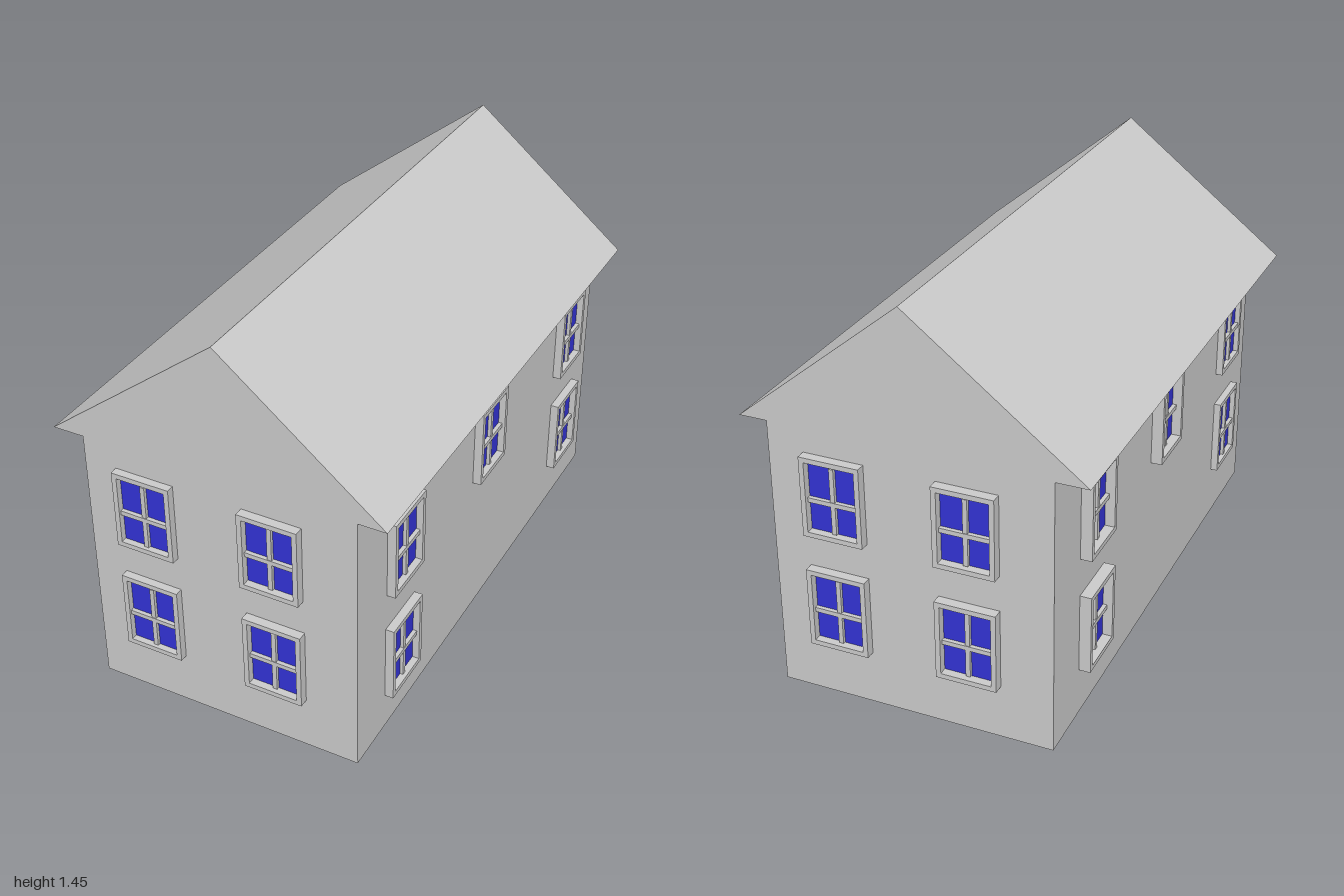
import * as THREE from 'three';

const wallMat = new THREE.MeshStandardMaterial({ color: 0xcccccc, flatShading: true });
const glassMat = new THREE.MeshStandardMaterial({ color: 0x3333d6, flatShading: true });

const WIN_W = 0.21, WIN_H = 0.285, GLASS_W = 0.175, GLASS_H = 0.25;
const WALL = { left: -0.48, right: 0.49, end: 0.965, top: 0.977 };

function mesh(name, geometry, material, x = 0, y = 0, z = 0) {
  const m = new THREE.Mesh(geometry, material);
  m.name = name;
  m.position.set(x, y, z);
  return m;
}

function rect(target, w, h) {
  target.moveTo(-w / 2, -h / 2);
  target.lineTo(w / 2, -h / 2);
  target.lineTo(w / 2, h / 2);
  target.lineTo(-w / 2, h / 2);
  target.closePath();
  return target;
}

// Window facing +z with its back on z = 0
function makeWindow(depth) {
  const g = new THREE.Group();
  g.name = 'window';
  const outline = rect(new THREE.Shape(), WIN_W, WIN_H);
  outline.holes.push(rect(new THREE.Path(), GLASS_W, GLASS_H));
  const frame = new THREE.ExtrudeGeometry(outline, { depth, bevelEnabled: false });
  g.add(mesh('windowFrame', frame, wallMat));
  g.add(mesh('glass', new THREE.BoxGeometry(GLASS_W, GLASS_H, 0.006), glassMat, 0, 0, 0.003));
  g.add(mesh('uprightBar', new THREE.BoxGeometry(0.016, 0.235, 0.012), wallMat, 0, -0.005, 0.012));
  g.add(mesh('crossBar', new THREE.BoxGeometry(GLASS_W, 0.016, 0.014), wallMat, 0, -0.014, 0.013));
  return g;
}

export function createModel() {
  const house = new THREE.Group();
  house.name = 'house';

  // Walls
  const width = WALL.right - WALL.left;
  house.add(mesh('walls', new THREE.BoxGeometry(width, WALL.top, WALL.end * 2), wallMat,
    (WALL.left + WALL.right) / 2, WALL.top / 2, 0));

  // Gabled roof with overhanging eaves
  const gable = new THREE.Shape();
  gable.moveTo(-0.592, WALL.top);
  gable.lineTo(0.588, WALL.top);
  gable.lineTo(0.015, 1.447);
  gable.closePath();
  const roof = new THREE.ExtrudeGeometry(gable, { depth: WALL.end * 2, bevelEnabled: false });
  house.add(mesh('roof', roof, wallMat, 0, 0, -WALL.end));

  // Windows: [position along the wall, centre height, depth]
  const sides = [
    { name: 'frontWindows', turn: 0, place: (s, y) => [s, y, WALL.end],
      list: [[-0.259, 0.75, 0.028], [0.196, 0.75, 0.032], [-0.256, 0.338, 0.028], [0.199, 0.338, 0.032]] },
    { name: 'backWindows', turn: Math.PI, place: (s, y) => [s, y, -WALL.end],
      list: [[-0.195, 0.75, 0.035], [0.26, 0.75, 0.033], [-0.195, 0.338, 0.035], [0.26, 0.338, 0.033]] },
    { name: 'leftWindows', turn: Math.PI / 2, place: (s, y) => [WALL.right, y, s],
      list: [[0.66, 0.697, 0.03], [0.005, 0.707, 0.03], [-0.727, 0.718, 0.03],
        [0.667, 0.277, 0.03], [-0.73, 0.304, 0.03]] },
    { name: 'rightWindows', turn: -Math.PI / 2, place: (s, y) => [WALL.left, y, s],
      list: [[-0.65, 0.733, 0.04], [-0.005, 0.742, 0.04], [0.72, 0.75, 0.025],
        [-0.65, 0.312, 0.04], [0.72, 0.338, 0.025]] },
  ];
  for (const side of sides) {
    const group = new THREE.Group();
    group.name = side.name;
    for (const [s, y, depth] of side.list) {
      const w = makeWindow(depth);
      w.position.set(...side.place(s, y));
      w.rotation.y = side.turn;
      group.add(w);
    }
    house.add(group);
  }
  return house;
}
